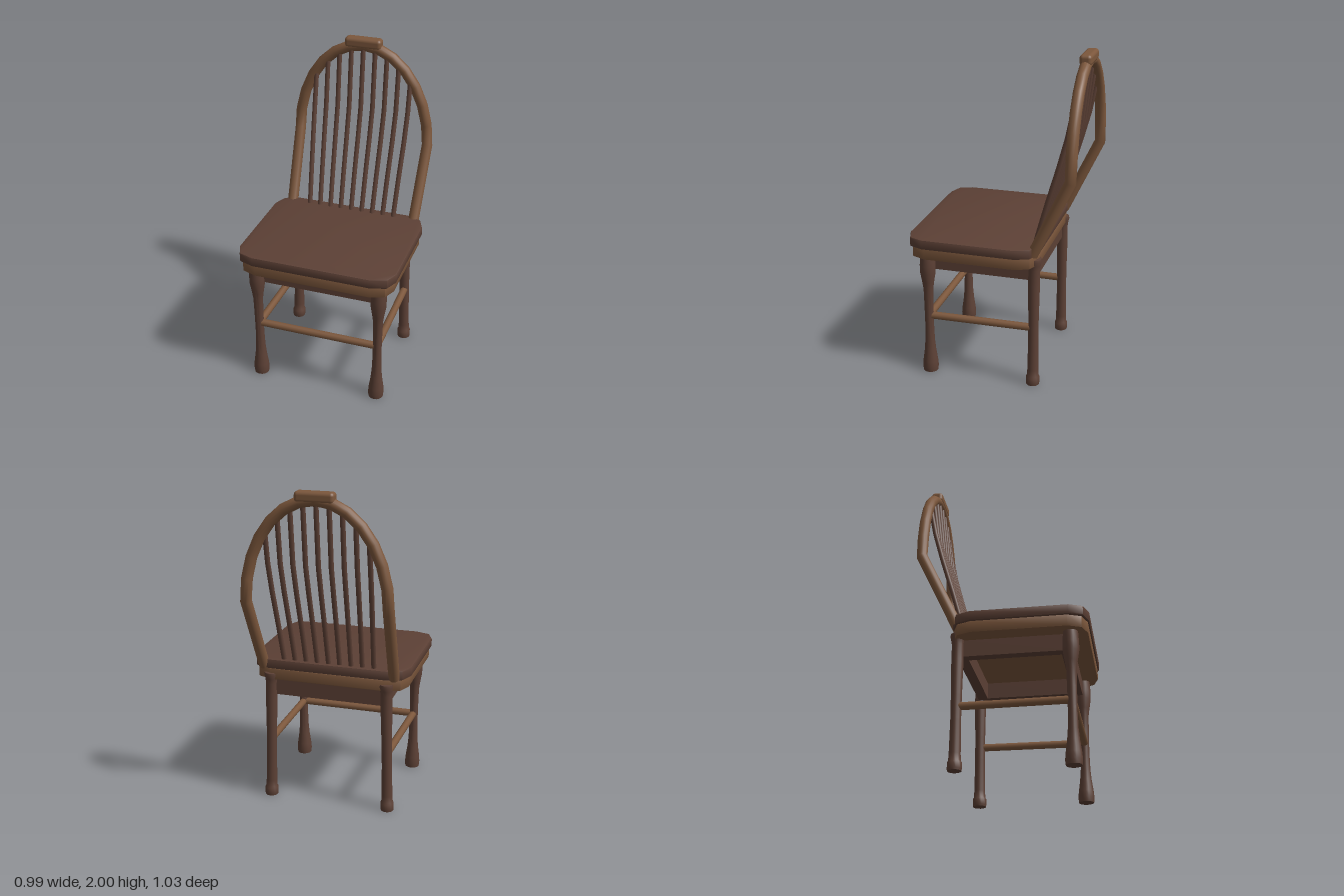
import * as THREE from 'three';
import { toCreasedNormals } from 'three/addons/utils/BufferGeometryUtils.js';
import { RoundedBoxGeometry } from 'three/addons/geometries/RoundedBoxGeometry.js';

const dark = new THREE.MeshStandardMaterial({ color: 0x5c4035 });
const light = new THREE.MeshStandardMaterial({ color: 0x7c573c });
const V = (x, y, z) => new THREE.Vector3(x, y, z);

// A path of straight runs with mitred corners, one tube ring per point
class Polyline extends THREE.Curve {
  constructor(points) {
    super();
    this.points = points;
  }
  getPoint(t, target = new THREE.Vector3()) {
    const n = this.points.length - 1;
    const s = THREE.MathUtils.clamp(t, 0, 1) * n;
    const i = Math.min(Math.floor(s), n - 1);
    return target.lerpVectors(this.points[i], this.points[i + 1], s - i);
  }
  getPointAt(u, target) {
    return this.getPoint(u, target);
  }
  getTangentAt(u, target = new THREE.Vector3()) {
    const d = 0.5 / (this.points.length - 1);
    return target.copy(this.getPoint(u + d)).sub(this.getPoint(u - d)).normalize();
  }
}

export function createModel() {
  const chair = new THREE.Group();
  chair.name = 'chair';

  function add(name, geometry, material, x = 0, y = 0, z = 0) {
    const mesh = new THREE.Mesh(geometry, material);
    mesh.name = name;
    mesh.position.set(x, y, z);
    chair.add(mesh);
    return mesh;
  }
  const tube = (points, radius, sides) =>
    new THREE.TubeGeometry(new Polyline(points), points.length - 1, radius, sides);

  // Flat board lying between y0 and y1, from a plan shape with y = -z
  function board(name, shape, y0, y1, bevel, material) {
    const g = new THREE.ExtrudeGeometry(shape, {
      depth: y1 - y0 - 2 * bevel, bevelEnabled: bevel > 0, bevelThickness: bevel,
      bevelSize: bevel, bevelOffset: -bevel, bevelSegments: 2,
    });
    g.rotateX(-Math.PI / 2);
    add(name, toCreasedNormals(g, 0.6), material, 0, y0 + bevel, 0);
  }

  // Plan with clipped corners
  function seatPlan(w, front, back) {
    const half = [
      [0.75 * w, front], [0.93 * w, front - 0.03], [w, front - 0.11],
      [w, back + 0.12], [0.93 * w, back + 0.035], [0.75 * w, back],
    ];
    const all = [...half, ...half.map(([x, z]) => [-x, z]).reverse()];
    return new THREE.Shape(all.map(([x, z]) => new THREE.Vector2(x, -z)));
  }
  board('seat', seatPlan(0.495, 0.515, -0.288), 0.86, 0.92, 0.008, dark);
  board('seatRim', seatPlan(0.48, 0.505, -0.284), 0.79, 0.862, 0.006, light);

  // Apron frame, open underneath
  const rect = (Type, w, front, back) => new Type([
    new THREE.Vector2(-w, -front), new THREE.Vector2(w, -front),
    new THREE.Vector2(w, -back), new THREE.Vector2(-w, -back),
  ]);
  const apron = rect(THREE.Shape, 0.37, 0.405, -0.262);
  apron.holes.push(rect(THREE.Path, 0.31, 0.345, -0.2));
  board('apron', apron, 0.688, 0.8, 0, dark);

  // Turned legs, leaning by a small shear from foot to top
  function leg(name, profile, x, z, leanX) {
    const g = new THREE.LatheGeometry(profile.map(([r, y]) => new THREE.Vector2(r, y)), 16);
    const p = g.attributes.position;
    for (let i = 0; i < p.count; i++) p.setX(i, p.getX(i) + leanX * p.getY(i));
    add(name, toCreasedNormals(g, 0.7), dark, x, 0, z);
  }
  const frontProfile = [
    [0, 0], [0.046, 0], [0.049, 0.03], [0.046, 0.07], [0.036, 0.14], [0.03, 0.21],
    [0.027, 0.32], [0.028, 0.45], [0.03, 0.56], [0.037, 0.61], [0.047, 0.67],
    [0.048, 0.72], [0.043, 0.8], [0, 0.8],
  ];
  const backProfile = [
    [0, 0], [0.04, 0], [0.042, 0.01], [0.042, 0.048], [0.036, 0.058], [0.034, 0.1],
    [0.031, 0.3], [0.032, 0.45], [0.036, 0.66], [0.035, 0.76], [0.039, 0.79],
    [0.045, 0.815], [0.043, 0.83], [0, 0.835],
  ];
  for (const s of [-1, 1]) {
    leg('frontLeg', frontProfile, s * 0.385, 0.405, s * 0.008);
    leg('backLeg', backProfile, s * 0.38, -0.257, -s * 0.02);
  }

  // Stretchers: front and both sides
  const bar = (length) => new THREE.CylinderGeometry(0.023, 0.023, length, 12);
  add('frontStretcher', bar(0.74).rotateZ(Math.PI / 2), light, 0, 0.38, 0.405);
  for (const s of [-1, 1]) {
    const side = add('sideStretcher', bar(0.67).rotateX(Math.PI / 2), light, s * 0.38, 0.38, 0.06);
    side.rotation.y = s * 0.015;
  }

  // Bow: leaning feet, then an upright half ellipse
  const bendY = 1.34, bowX = 0.427, bowH = 0.61, bowZ = -0.478;
  const bow = [V(0.41, 0.87, -0.256)];
  const steps = 14;
  for (let i = 0; i <= steps; i++) {
    const a = (i / steps) * Math.PI;
    bow.push(V(bowX * Math.cos(a), bendY + bowH * Math.sin(a), bowZ));
  }
  bow.push(V(-0.41, 0.87, -0.256));
  add('backBow', tube(bow, 0.034, 14), light);

  // Crest block on top of the bow
  add('crest', new RoundedBoxGeometry(0.234, 0.066, 0.074, 3, 0.022), light, 0, 1.967, bowZ);

  // Nine spindles, fanning slightly and curving back into the bow
  for (let i = -4; i <= 4; i++) {
    const x0 = i * 0.0705, x1 = i * 0.0765;
    const top = bendY + bowH * Math.sqrt(1 - (x1 / bowX) ** 2);
    const points = [
      V(x0, 0.9, -0.243), V(x0 + 0.4 * (x1 - x0), 1.15, -0.312),
      V(x0 + 0.8 * (x1 - x0), 1.38, -0.38), V(x1, 1.56, -0.428), V(x1, top, -0.468),
    ];
    add('spindle', tube(points, 0.0155, 10), dark);
  }

  return chair;
}
